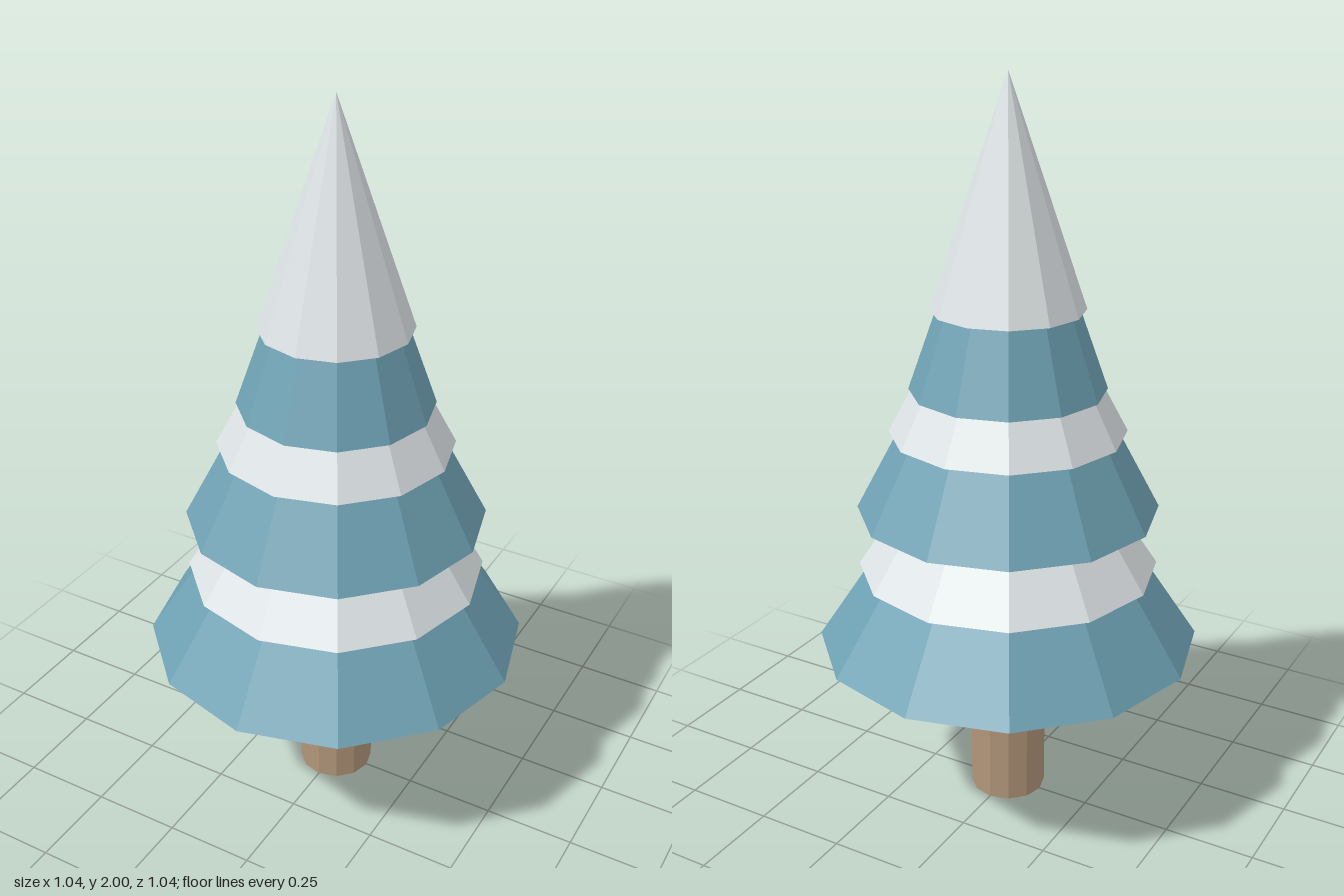
import * as THREE from 'three';

const SIDES = 12;

function material(name, color) {
  const m = new THREE.MeshStandardMaterial({ color, flatShading: true });
  m.name = name;
  return m;
}

export function createModel() {
  const tree = new THREE.Group();
  tree.name = 'snowyTree';

  const needles = material('needle blue', 0x6fa2b4);
  const snow = material('snow white', 0xdde3e5);
  const bark = material('bark brown', 0xb3967a);

  // Trunk
  const trunkHeight = 0.5;
  const trunk = new THREE.Mesh(new THREE.CylinderGeometry(0.104, 0.104, trunkHeight, SIDES), bark);
  trunk.name = 'trunk';
  trunk.position.y = trunkHeight / 2;
  tree.add(trunk);

  // Closed cones: name, base radius, base height, tip height, material
  const cones = [
    ['lowerBranches', 0.52, 0.48, 1.26, needles],
    ['lowerSnow', 0.405, 0.695, 1.3, snow],
    ['middleBranches', 0.405, 0.862, 1.625, needles],
    ['middleSnow', 0.315, 1.078, 1.67, snow],
    ['upperBranches', 0.26, 1.195, 1.93, needles],
    ['topSnow', 0.202, 1.408, 2, snow],
  ];
  for (const [name, radius, base, tip, mat] of cones) {
    const cone = new THREE.Mesh(new THREE.ConeGeometry(radius, tip - base, SIDES), mat);
    cone.name = name;
    cone.position.y = (base + tip) / 2;
    tree.add(cone);
  }

  return tree;
}
